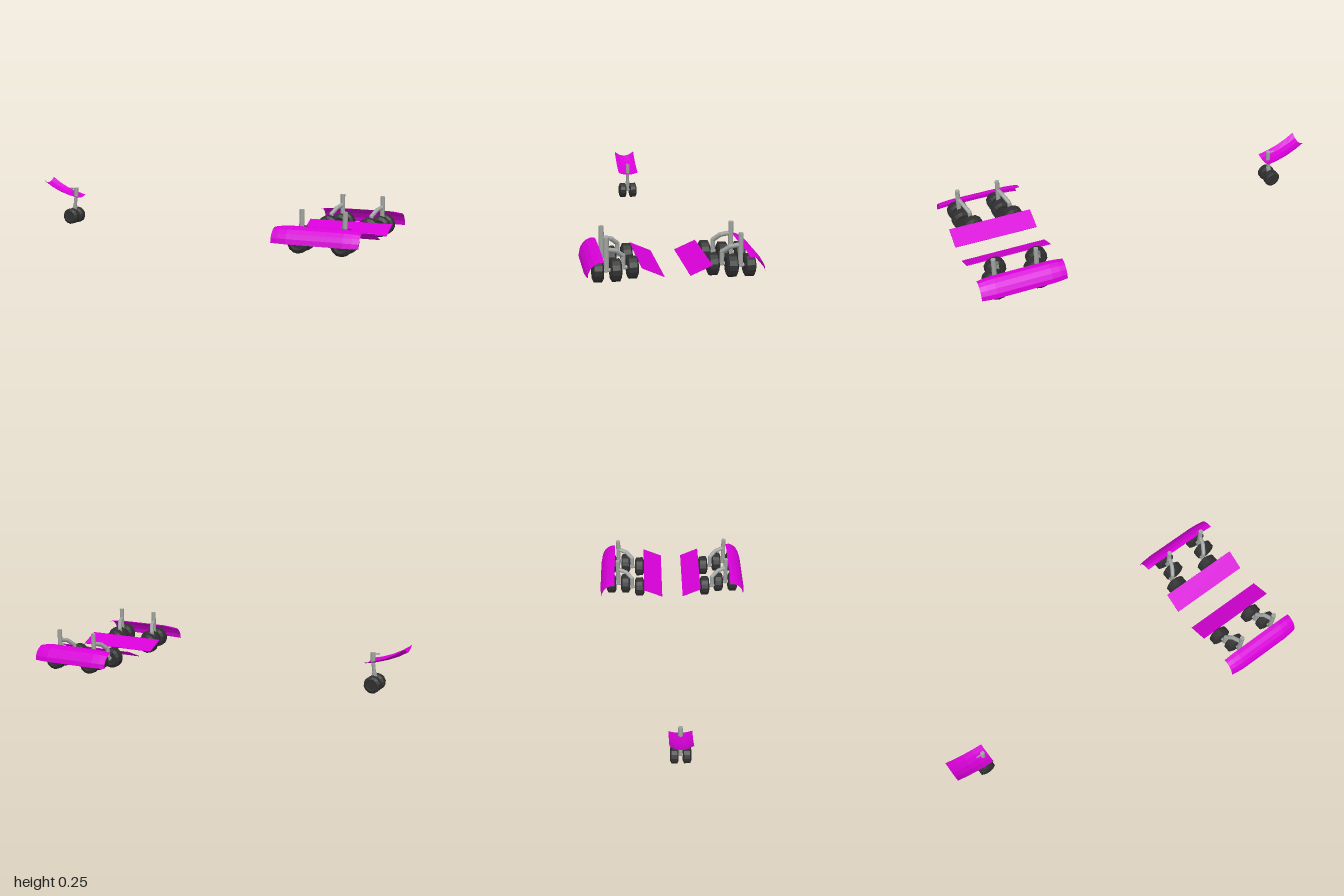
import * as THREE from 'three';

const painted = new THREE.MeshStandardMaterial({ color: 0xd800d8, side: THREE.DoubleSide });
painted.name = 'magenta door paint';
const metal = new THREE.MeshStandardMaterial({ color: 0xa0a4a0 });
metal.name = 'grey strut metal';
const rubber = new THREE.MeshStandardMaterial({ color: 0x303030 });
rubber.name = 'dark tyre rubber';

function addMesh(parent, name, geometry, material) {
  const mesh = new THREE.Mesh(geometry, material);
  mesh.name = name;
  parent.add(mesh);
  return mesh;
}

// Faceted copy of a geometry
function faceted(geometry) {
  const g = geometry.index ? geometry.toNonIndexed() : geometry;
  g.computeVertexNormals();
  return g;
}

// Chamfered wheel with its axle along z
function addWheel(parent, name, x, z, radius, halfWidth) {
  const w = halfWidth;
  const r = radius;
  const profile = [
    [0, -w * 0.9], [r * 0.5, -w * 0.9], [r * 0.7, -w], [r, -w * 0.68],
    [r, w * 0.68], [r * 0.7, w], [r * 0.5, w * 0.9], [0, w * 0.9],
  ].map(([a, b]) => new THREE.Vector2(a, b));
  const g = new THREE.LatheGeometry(profile, 14);
  g.rotateX(Math.PI / 2);
  addMesh(parent, name, faceted(g), rubber).position.set(x, r, z);
}

// Round bar between two points
function addBar(parent, name, from, to, radius) {
  const a = new THREE.Vector3(...from);
  const b = new THREE.Vector3(...to);
  const g = new THREE.CylinderGeometry(radius, radius, a.distanceTo(b), 12);
  const bar = addMesh(parent, name, g, metal);
  bar.position.copy(a).add(b).multiplyScalar(0.5);
  bar.quaternion.setFromUnitVectors(new THREE.Vector3(0, 1, 0), b.clone().sub(a).normalize());
}

// Bent bar with rounded joints
function addBentBar(parent, name, points, radius) {
  for (let i = 1; i < points.length; i++) {
    addBar(parent, name, points[i - 1], points[i], radius);
    if (i < points.length - 1) {
      addMesh(parent, name + 'Joint', new THREE.SphereGeometry(radius, 12, 8), metal)
        .position.set(...points[i]);
    }
  }
}

// Thin skin through a row of cross-sections
function addSkin(parent, name, sections) {
  const n = sections[0].length;
  const index = [];
  for (let i = 0; i < sections.length - 1; i++) {
    for (let j = 0; j < n - 1; j++) {
      const a = i * n + j;
      index.push(a, a + 1, a + n, a + 1, a + n + 1, a + n);
    }
  }
  const g = new THREE.BufferGeometry();
  g.setAttribute('position', new THREE.Float32BufferAttribute(sections.flat(2), 3));
  g.setIndex(index);
  addMesh(parent, name, faceted(g), painted);
}

// Three-wheel main leg; s is the side along z
function addMainLeg(parent, x, s) {
  const leg = new THREE.Group();
  leg.name = 'mainLeg';
  leg.position.x = x;
  parent.add(leg);
  addWheel(leg, 'outerWheel', 0, s * 0.359, 0.055, 0.027);
  addWheel(leg, 'middleWheel', 0, s * 0.275, 0.055, 0.027);
  addWheel(leg, 'innerWheel', -0.038, s * 0.192, 0.055, 0.027);
  addBar(leg, 'mainStrut', [0, 0.05, s * 0.318], [0, 0.212, s * 0.318], 0.0125);
  addBar(leg, 'outerAxle', [0, 0.056, s * 0.36], [0, 0.056, s * 0.27], 0.01);
  addBentBar(leg, 'sideArm', [
    [0, 0.155, s * 0.318], [-0.016, 0.143, s * 0.27],
    [-0.036, 0.113, s * 0.236], [-0.038, 0.048, s * 0.236],
  ], 0.0115);
  addBar(leg, 'innerAxle', [-0.038, 0.056, s * 0.25], [-0.038, 0.056, s * 0.19], 0.01);
}

function addMainDoors(parent, s) {
  // Curved outer door, drawn in slightly at its ends
  const arc = [[0.339, 0.131], [0.362, 0.129], [0.385, 0.118], [0.405, 0.099], [0.419, 0.075], [0.424, 0.05]];
  const stations = [[0.55, 0.01], [0.585, 0.004], [0.63, 0], [0.92, 0], [0.965, 0.004], [1, 0.01]];
  addSkin(parent, 'outerDoor', stations.map(([x, inset]) => arc.map(([z, y], i) => {
    const t = i / (arc.length - 1);
    return [x, y - inset * (1 - t), s * (z - inset * t)];
  })));
  // Flat sloping inner door
  const panel = new THREE.BoxGeometry(0.45, 0.003, 0.114);
  const door = addMesh(parent, 'innerDoor', panel, painted);
  door.position.set(0.775, 0.066, s * 0.1125);
  door.rotation.x = -s * Math.atan2(0.046, 0.105);
}

function addNoseGear(parent) {
  const gear = new THREE.Group();
  gear.name = 'noseGear';
  parent.add(gear);
  for (const s of [-1, 1]) addWheel(gear, 'noseWheel', -0.828, s * 0.031, 0.044, 0.021);
  addBar(gear, 'noseStrutTop', [-0.813, 0.205, 0], [-0.815, 0.15, 0], 0.012);
  addBar(gear, 'noseStrut', [-0.815, 0.16, 0], [-0.827, 0.07, 0], 0.0095);
  addBar(gear, 'noseCollar', [-0.823, 0.1, 0], [-0.827, 0.07, 0], 0.013);
  addBar(gear, 'noseFork', [-0.827, 0.075, 0], [-0.828, 0.044, 0], 0.01);
  addBar(gear, 'noseAxle', [-0.828, 0.044, -0.035], [-0.828, 0.044, 0.035], 0.008);
  addBar(gear, 'nosePin', [-0.85, 0.202, 0], [-0.813, 0.196, 0], 0.004);

  // Trough-shaped door: x, centre height, edge rise
  const stations = [[-1, 0.226, 0.026], [-0.955, 0.2, 0.022], [-0.9, 0.176, 0.018], [-0.845, 0.16, 0.014], [-0.787, 0.148, 0.012]];
  const across = [-1, -0.5, 0, 0.5, 1];
  addSkin(gear, 'noseDoor', stations.map(([x, y, rise]) =>
    across.map((t) => [x, y + rise * t * t, t * 0.058])));
}

export function createModel() {
  const model = new THREE.Group();
  model.name = 'landingGear';
  for (const s of [-1, 1]) {
    const side = new THREE.Group();
    side.name = s > 0 ? 'mainGearFront' : 'mainGearBack';
    model.add(side);
    for (const x of [0.679, 0.901]) addMainLeg(side, x, s);
    addMainDoors(side, s);
  }
  addNoseGear(model);
  return model;
}
